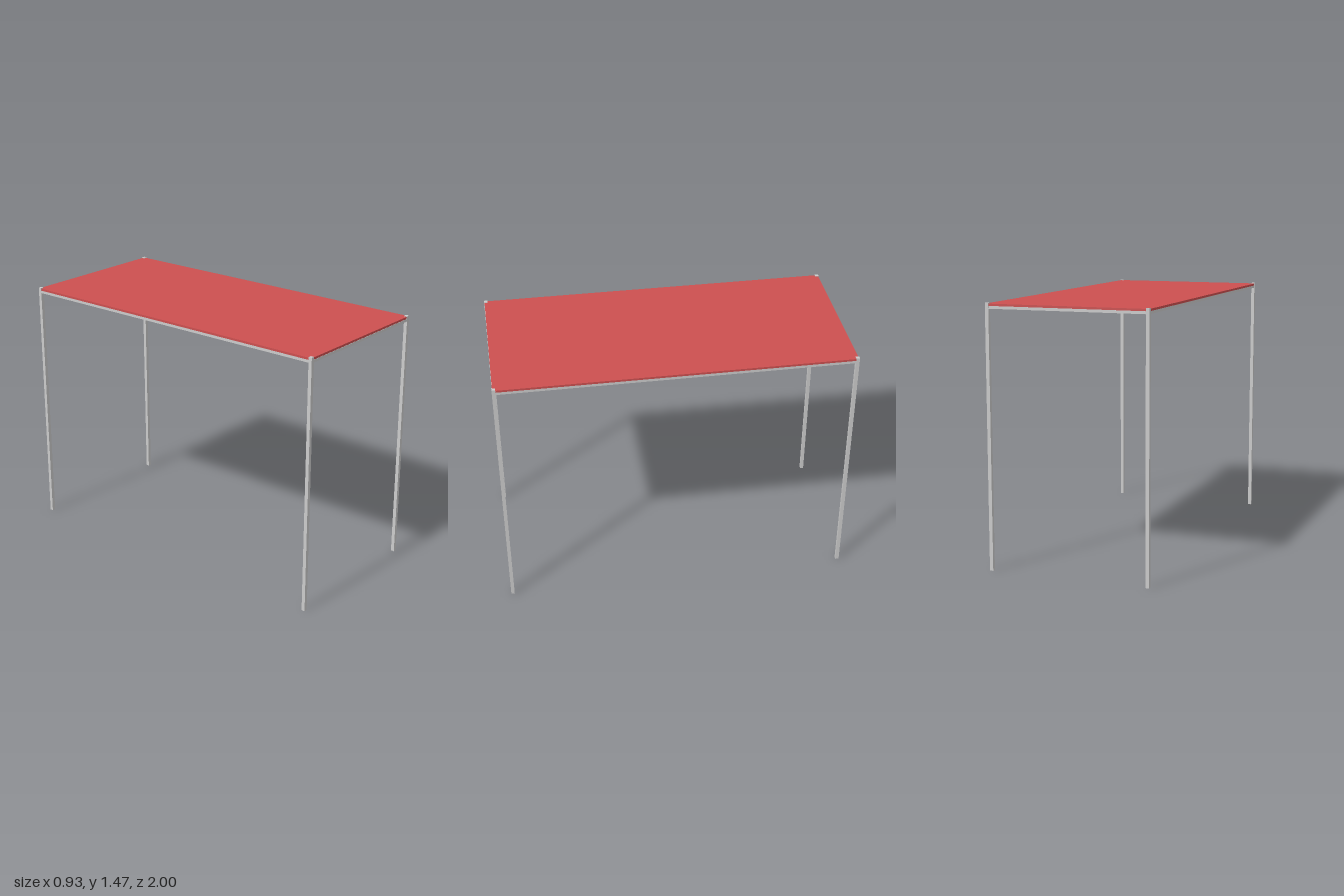
import * as THREE from 'three';

export function createModel() {
  const group = new THREE.Group();
  const grey = new THREE.MeshStandardMaterial({ color: 0xcccccc });
  const red = new THREE.MeshStandardMaterial({ color: 0xcc5050 });
  const halfX = 0.464, halfZ = 1, height = 1.468, bar = 0.02;
  const legX = halfX - bar / 2, legZ = halfZ - bar / 2;
  const railBottom = 1.437, railTop = 1.452, panelTop = 1.464;

  const box = (name, w, h, d, x, y, z, material = grey) => {
    const mesh = new THREE.Mesh(new THREE.BoxGeometry(w, h, d), material);
    mesh.name = name;
    mesh.position.set(x, y, z);
    group.add(mesh);
  };

  // Four square legs, rising just above the top panel
  for (const sx of [-1, 1]) {
    for (const sz of [-1, 1]) {
      const name = (sz > 0 ? 'front' : 'back') + (sx > 0 ? 'Left' : 'Right') + 'Leg';
      box(name, bar, height, bar, sx * legX, height / 2, sz * legZ);
    }
  }

  // Rails between the legs, under the panel
  const railY = (railBottom + railTop) / 2, railH = railTop - railBottom;
  const railW = bar - 0.003;
  for (const s of [-1, 1]) {
    box(s > 0 ? 'leftRail' : 'rightRail', railW, railH, 2 * (halfZ - bar), s * legX, railY, 0);
    box(s > 0 ? 'frontRail' : 'backRail', 2 * (halfX - bar), railH, railW, 0, railY, s * legZ);
  }

  // Coloured top panel resting on the rails
  box('topPanel', 2 * halfX - 0.003, panelTop - railTop, 2 * halfZ - 0.006,
    0, (railTop + panelTop) / 2, 0, red);

  return group;
}
